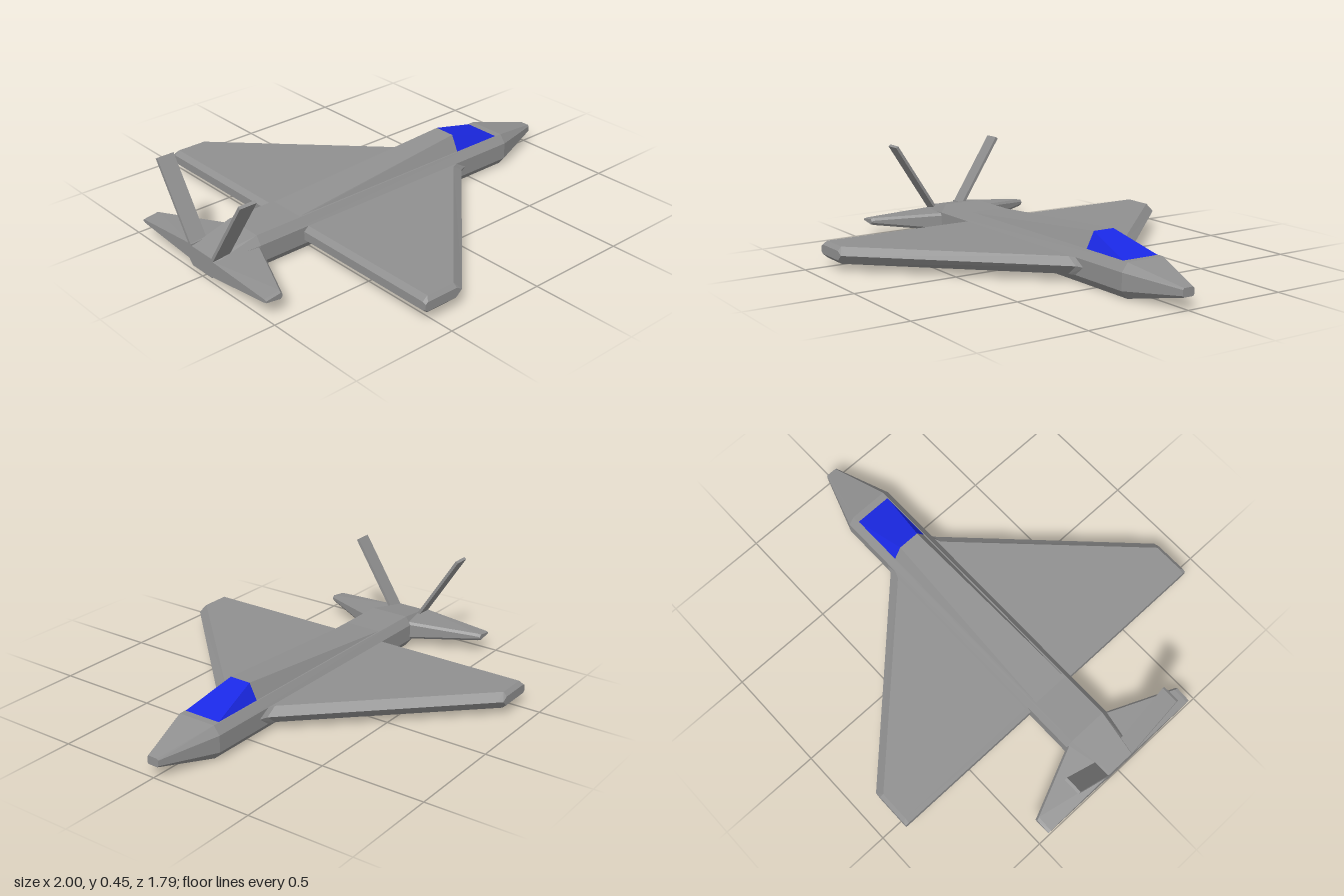
import * as THREE from 'three';

const grey = new THREE.MeshStandardMaterial({ color: 0x909090, flatShading: true });
const blue = new THREE.MeshStandardMaterial({ color: 0x1a28e5, flatShading: true });

// Closed faceted solid through matching rings of [x, y, z] points
function loft(name, rings, material = grey) {
  const n = rings[0].length;
  let tris = [];
  for (let i = 0; i < rings.length - 1; i++) {
    for (let j = 0; j < n; j++) {
      const k = (j + 1) % n;
      const [a, b, c, d] = [rings[i][j], rings[i][k], rings[i + 1][k], rings[i + 1][j]];
      tris.push([a, b, c], [a, c, d]);
    }
  }
  const first = rings[0], last = rings[rings.length - 1];
  for (let j = 1; j < n - 1; j++) {
    tris.push([first[0], first[j + 1], first[j]], [last[0], last[j], last[j + 1]]);
  }
  // Signed volume tells whether the faces point outward
  const v = (p) => new THREE.Vector3(...p);
  const volume = tris.reduce((s, [a, b, c]) => s + v(a).dot(v(b).cross(v(c))), 0);
  if (volume < 0) tris = tris.map(([a, b, c]) => [a, c, b]);
  const geometry = new THREE.BufferGeometry();
  geometry.setAttribute('position', new THREE.Float32BufferAttribute(tris.flat(2), 3));
  geometry.computeVertexNormals();
  const mesh = new THREE.Mesh(geometry, material);
  mesh.name = name;
  return mesh;
}

// Eight-sided fuselage section: flat top and bottom, chamfered sides
function hullRing([x, bottom, low, high, top, flat, wide]) {
  return [
    [x, bottom, flat], [x, low, wide], [x, high, wide], [x, top, flat],
    [x, top, -flat], [x, high, -wide], [x, low, -wide], [x, bottom, -flat],
  ];
}

// Wing section: blunt trailing edge, ridged leading edge
function wingRing(z, back, front, bevelBack, bevelFront, half) {
  const mid = 0.08, edge = Math.min(0.02, half * 0.6);
  return [
    [back, mid - edge, z], [back, mid + edge, z],
    [back + bevelBack, mid + half, z], [front - bevelFront, mid + half, z],
    [front, mid + 0.005, z], [front - bevelFront, mid - half, z],
    [back + bevelBack, mid - half, z],
  ];
}

// Spine and canopy section: a trapezoid standing on the fuselage
const humpRing = (x, y, top, base) => [[x, 0.155, base], [x, y, top], [x, y, -top], [x, 0.155, -base]];

// Tailplane section with a bevelled leading edge
const tailRing = (z, front, low, high, bevel) => [
  [-1, low + 0.01, z], [-1, high - 0.01, z], [front - bevel, high, z],
  [front, high - 0.012, z], [front, low + 0.012, z], [front - bevel, low, z],
];

// Thin fin section, square to the fin's outward lean
const finRing = (y, z) => [
  [-1, y + 0.004, z - 0.006], [-0.917, y + 0.004, z - 0.006],
  [-0.917, y - 0.004, z + 0.006], [-1, y - 0.004, z + 0.006],
];

const mirrorRings = (rings, s) => rings.map((r) => r.map(([x, y, z]) => [x, y, z * s]));

export function createModel() {
  const group = new THREE.Group();
  group.name = 'jetPlane';

  // Fuselage with tapered tail and nose
  group.add(loft('fuselage', [
    [-1, 0.025, 0.045, 0.1, 0.12, 0.07, 0.09],
    [-0.78, 0.003, 0.04, 0.12, 0.16, 0.098, 0.125],
    [0.72, 0.003, 0.04, 0.12, 0.16, 0.095, 0.125],
    [1, 0.06, 0.067, 0.093, 0.1, 0.024, 0.03],
  ].map(hullRing)));

  // Spine rising towards the cockpit, and the canopy in front of it
  group.add(loft('spine', [humpRing(-0.54, 0.16, 0.09, 0.093), humpRing(0.425, 0.235, 0.053, 0.093)]));
  group.add(loft('canopy', [humpRing(0.425, 0.235, 0.053, 0.094), humpRing(0.685, 0.16, 0.092, 0.094)], blue));

  for (const s of [1, -1]) {
    const side = s > 0 ? 'left' : 'right';
    const sideName = side === 'left' ? 'near' : 'far';

    // Delta wing with a small root fairing, bevelled edges and tip
    group.add(loft(sideName + 'Wing', mirrorRings([
      wingRing(0.122, -0.545, 0.455, 0.025, 0.06, 0.04),
      wingRing(0.138, -0.545, 0.41, 0.025, 0.055, 0.04),
      wingRing(0.877, -0.545, -0.324, 0.025, 0.05, 0.04),
      wingRing(0.895, -0.545, -0.342, 0.012, 0.03, 0.022),
    ], s)));

    // Swept tailplane thinning to the tip, its root slightly lower on the near side
    const drop = s > 0 ? 0.01 : -0.01;
    group.add(loft(sideName + 'Tailplane', mirrorRings([
      tailRing(0.07, -0.755, 0.03 - drop, 0.128 - drop, 0.01),
      tailRing(0.435, -0.911, 0.068, 0.104, 0.01),
      tailRing(0.45, -0.917, 0.072, 0.1, 0.01),
    ], s)));

    // Thin fin leaning outward
    group.add(loft(sideName + 'Fin', mirrorRings([finRing(0.1, 0.07), finRing(0.452, 0.296)], s)));
  }
  return group;
}
